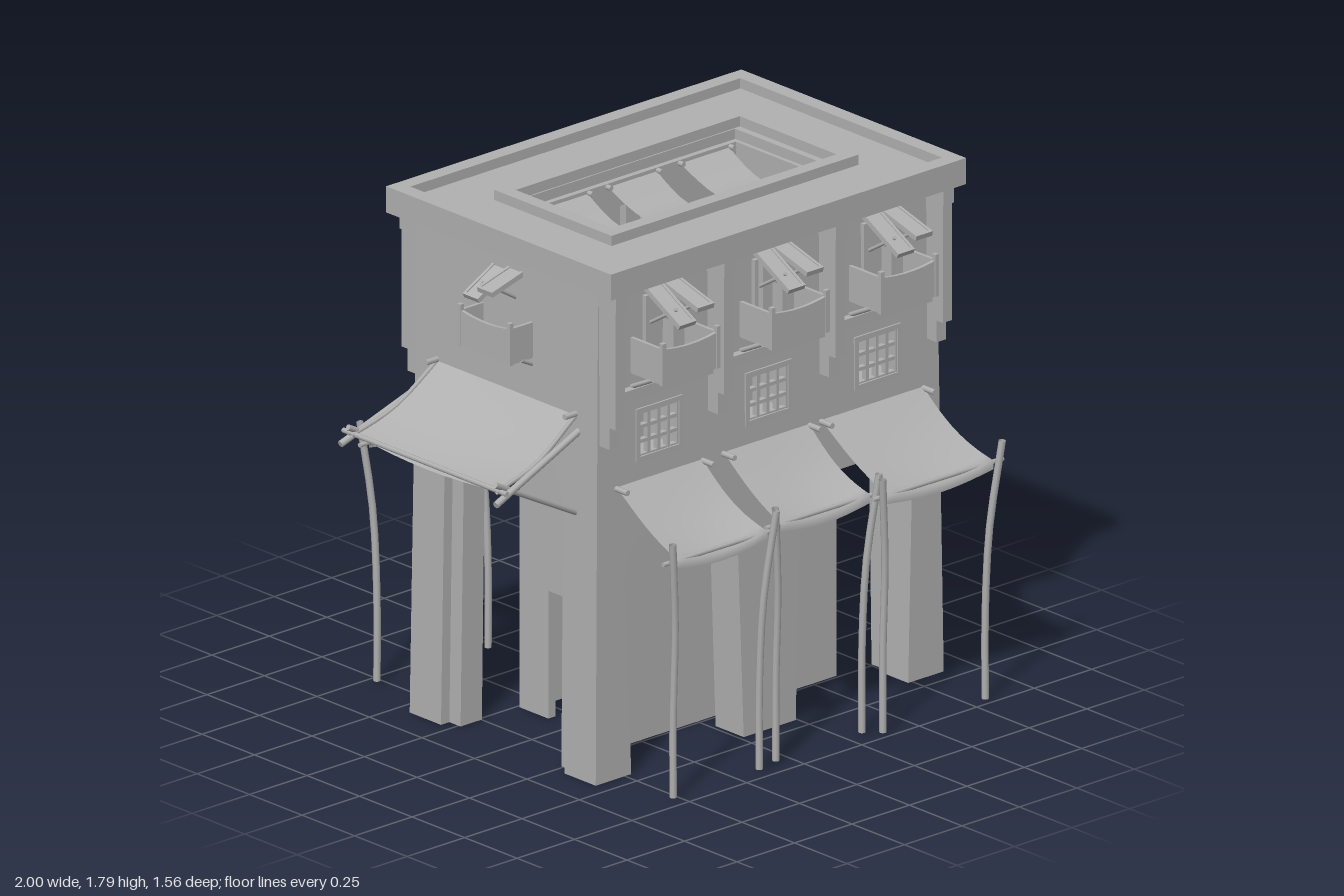
import * as THREE from 'three';

const stone = new THREE.MeshStandardMaterial({ color: 0xb0b0b0, side: THREE.DoubleSide });
stone.name = 'plain grey';
const CX = 0.13; // centre of the building in x
const BAYS = [-0.475, 0, 0.475];
const V = (x, y, z) => new THREE.Vector3(x, y, z);

function add(parent, name, geometry) {
  const mesh = new THREE.Mesh(geometry, stone);
  mesh.name = name;
  parent.add(mesh);
  return mesh;
}

// Box given by its limits
function box(parent, name, x0, x1, y0, y1, z0, z1) {
  const g = new THREE.BoxGeometry(x1 - x0, y1 - y0, z1 - z0);
  g.translate((x0 + x1) / 2, (y0 + y1) / 2, (z0 + z1) / 2);
  return add(parent, name, g);
}

// Round stick between two points
function stick(parent, name, a, b, r = 0.011) {
  const d = b.clone().sub(a);
  const m = add(parent, name, new THREE.CylinderGeometry(r, r, d.length(), 8));
  m.position.copy(a).add(b).multiplyScalar(0.5);
  m.quaternion.setFromUnitVectors(V(0, 1, 0), d.normalize());
  return m;
}

function rect(C, x0, x1, y0, y1) {
  const s = new C();
  s.moveTo(x0, y0); s.lineTo(x1, y0); s.lineTo(x1, y1); s.lineTo(x0, y1); s.closePath();
  return s;
}

// Horizontal rectangular ring
function ring(parent, name, [ox0, ox1, oz], [ix0, ix1, iz], y0, y1) {
  const s = rect(THREE.Shape, ox0, ox1, -oz, oz);
  s.holes.push(rect(THREE.Path, ix0, ix1, -iz, iz));
  const g = new THREE.ExtrudeGeometry(s, { depth: y1 - y0, bevelEnabled: false });
  g.rotateX(-Math.PI / 2).translate(0, y0, 0);
  return add(parent, name, g);
}

// Upright wall that leans slightly inwards as it rises
function wall(parent, name, shape, z0, z1) {
  const g = new THREE.ExtrudeGeometry(shape, { depth: z1 - z0, bevelEnabled: false, curveSegments: 10 });
  g.translate(0, 0, z0);
  const p = g.attributes.position;
  for (let i = 0; i < p.count; i++) {
    const k = 1 + 0.03 * (1 - p.getY(i) / 1.7);
    p.setX(i, p.getX(i) * k);
    p.setZ(i, p.getZ(i) * k);
  }
  g.computeVertexNormals();
  return add(parent, name, g);
}

// Cloth from a rule f(u, v), with u and v from 0 to 1
function cloth(parent, name, f) {
  const g = new THREE.PlaneGeometry(1, 1, 8, 10);
  const p = g.attributes.position;
  for (let i = 0; i < p.count; i++) {
    const q = f(p.getX(i) + 0.5, 0.5 - p.getY(i));
    p.setXYZ(i, q.x, q.y, q.z);
  }
  g.computeVertexNormals();
  return add(parent, name, g);
}

// Balcony with door frame, open shutters and brackets; wall face at z
function balcony(parent, u, z) {
  const b = new THREE.Group();
  b.name = 'balcony';
  b.position.set(u, 0, z);
  parent.add(b);
  box(b, 'balconyFloor', -0.12, 0.12, 1.375, 1.39, 0, 0.15);
  const s = new THREE.Shape();
  s.moveTo(-0.12, 1.375); s.lineTo(0.12, 1.375); s.lineTo(0.12, 1.5);
  s.quadraticCurveTo(0, 1.475, -0.12, 1.5);
  const g = new THREE.ExtrudeGeometry(s, { depth: 0.012, bevelEnabled: false });
  add(b, 'balconyFront', g.translate(0, 0, 0.14));
  for (const d of [-1, 1]) {
    const x = d * 0.118;
    box(b, 'balconySide', x - 0.006, x + 0.006, 1.38, 1.5, 0, 0.14);
    box(b, 'balconyPost', x - 0.008, x + 0.008, 1.375, 1.52, 0.14, 0.156);
    stick(b, 'balconyBracket', V(x, 1.33, 0), V(x, 1.38, 0.1), 0.008);
    box(b, 'doorJamb', d * 0.06 - 0.008, d * 0.06 + 0.008, 1.39, 1.63, -0.02, 0.012);
    stick(b, 'shutterProp', V(d * 0.035, 1.53, 0), V(d * 0.04, 1.61, 0.13), 0.006);
  }
  // Two shutters propped outwards at different angles
  for (const [x, tilt, len] of [[-0.037, 0.5, 0.19], [0.037, 0.27, 0.18]]) {
    const sh = new THREE.Group();
    sh.name = 'shutter';
    sh.position.set(x, 1.66, 0.01);
    sh.rotation.x = tilt;
    b.add(sh);
    box(sh, 'shutterBoard', -0.03, 0.03, -0.005, 0.005, 0, len);
    for (const d of [-1, 1]) box(sh, 'shutterRail', d * 0.031 - 0.005, d * 0.031 + 0.005, -0.009, 0.009, 0, len);
    box(sh, 'shutterEnd', -0.036, 0.036, -0.009, 0.009, len - 0.01, len);
  }
}

// Framed lattice window of four by three panes
function lattice(parent, u) {
  const w = new THREE.Group();
  w.name = 'latticeWindow';
  w.position.set(u, 1.155, 0.43);
  parent.add(w);
  for (const d of [-1, 1]) {
    box(w, 'frameSide', d * 0.093 - 0.008, d * 0.093 + 0.008, -0.09, 0.09, -0.02, 0.01);
    box(w, 'frameRail', -0.1, 0.1, d * 0.083 - 0.008, d * 0.083 + 0.008, -0.02, 0.01);
  }
  for (let i = 0; i < 5; i++) box(w, 'upright', -0.091 + i * 0.0425, -0.079 + i * 0.0425, -0.08, 0.08, -0.015, 0.005);
  for (let i = 0; i < 4; i++) box(w, 'crossbar', -0.085, 0.085, -0.081 + i * 0.05, -0.069 + i * 0.05, -0.015, 0.004);
}

// Long side: two arches, three bays of windows and balconies
function longSide(parent, name, turn) {
  const f = new THREE.Group();
  f.name = name;
  f.position.x = CX;
  f.rotation.y = turn;
  parent.add(f);
  const s = new THREE.Shape();
  s.moveTo(-0.735, 0);
  s.lineTo(-0.585, 0); s.lineTo(-0.612, 0.67);
  s.quadraticCurveTo(-0.612, 0.81, -0.49, 0.81);
  s.lineTo(-0.26, 0.81);
  s.quadraticCurveTo(-0.14, 0.81, -0.13, 0.62);
  s.lineTo(-0.11, 0); s.lineTo(0.11, 0); s.lineTo(0.13, 0.62);
  s.quadraticCurveTo(0.14, 0.81, 0.26, 0.81);
  s.lineTo(0.49, 0.81);
  s.quadraticCurveTo(0.612, 0.81, 0.612, 0.67);
  s.lineTo(0.585, 0);
  s.lineTo(0.735, 0); s.lineTo(0.735, 1.7); s.lineTo(-0.735, 1.7);
  for (const u of BAYS) {
    s.holes.push(rect(THREE.Path, u - 0.087, u + 0.087, 1.075, 1.235));
    s.holes.push(rect(THREE.Path, u - 0.055, u + 0.055, 1.39, 1.63));
  }
  wall(f, 'archedWall', s, 0.3, 0.43);
  for (const u of BAYS) {
    lattice(f, u);
    balcony(f, u, 0.435);
    if (u) box(f, 'door', u - 0.055, u + 0.055, 1.39, 1.63, 0.38, 0.395);
    else box(f, 'doorLeaf', 0.015, 0.055, 1.39, 1.63, 0.38, 0.395);
  }
  for (const u of [-0.712, -0.24, 0.245, 0.712]) {
    box(f, 'pilaster', u - 0.02, u + 0.02, 1.235, 1.7, 0.42, 0.51);
    box(f, 'pilasterFoot', u - 0.02, u + 0.02, 1.16, 1.235, 0.42, 0.48);
    box(f, 'pilasterHead', u - 0.023, u + 0.023, 1.64, 1.7, 0.42, 0.515);
  }
  box(f, 'ledge', -0.72, 0.72, 1.295, 1.33, 0.42, 0.46);
}

// Short side: pointed arch inside a rectangular recess
function shortSide(parent, name, turn) {
  const f = new THREE.Group();
  f.name = name;
  f.position.x = CX;
  f.rotation.y = turn;
  parent.add(f);
  const outline = (opening) => {
    const s = new THREE.Shape();
    s.moveTo(-0.305, 0); opening(s);
    s.lineTo(0.305, 0); s.lineTo(0.305, 1.7); s.lineTo(-0.305, 1.7);
    return s;
  };
  wall(f, 'recessWall', outline((s) => {
    s.lineTo(-0.285, 0); s.lineTo(-0.285, 1.2); s.lineTo(0.285, 1.2); s.lineTo(0.285, 0);
  }), 0.7, 0.735);
  wall(f, 'pointedArch', outline((s) => {
    s.lineTo(-0.233, 0); s.lineTo(-0.233, 0.88);
    s.quadraticCurveTo(-0.22, 1.08, 0, 1.15);
    s.quadraticCurveTo(0.22, 1.08, 0.233, 0.88);
    s.lineTo(0.233, 0);
  }), 0.61, 0.7);
  balcony(f, 0, 0.685);
}

// Cloth awning with a short hanging flap on two bent posts; s is +1 for front, -1 for back
function awning(parent, x0, x1, zOut, s) {
  const a = new THREE.Group();
  a.name = 'awning';
  parent.add(a);
  const mid = (x0 + x1) / 2;
  cloth(a, 'awningCloth', (u, v) => {
    const t = Math.min(v / 0.9, 1), flap = Math.max(v - 0.9, 0) * 10;
    const x = mid + (u - 0.5) * (x1 - x0) * (0.98 + 0.14 * (t - 0.35) ** 2);
    const y = 1.0 - 0.165 * t - 0.024 * Math.sin(Math.PI * t) - 0.02 * Math.sin(Math.PI * u) * t - 0.03 * flap;
    return V(x, y, s * (0.435 + (zOut - 0.435) * t));
  });
  stick(a, 'awningPole', V(x0 - 0.06, 0.83, s * (zOut - 0.012)), V(x1 + 0.06, 0.825, s * (zOut - 0.012)), 0.008);
  for (const [x, d] of [[x0, -1], [x1, 1]]) {
    const pts = [V(x, 0.01, s * (zOut - 0.03)), V(x, 0.3, s * (zOut - 0.03)),
      V(x + d * 0.005, 0.6, s * (zOut - 0.015)), V(x + d * 0.038, 0.9, s * (zOut + 0.01))];
    add(a, 'awningPost', new THREE.TubeGeometry(new THREE.CatmullRomCurve3(pts), 9, 0.012, 8));
    stick(a, 'awningPeg', V(x, 0.995, s * 0.42), V(x, 0.995, s * 0.49), 0.01);
  }
}

export function createModel() {
  const model = new THREE.Group();
  model.name = 'arcadeBuilding';
  longSide(model, 'frontSide', 0);
  longSide(model, 'backSide', Math.PI);
  shortSide(model, 'leftSide', Math.PI / 2);
  shortSide(model, 'rightSide', -Math.PI / 2);

  // Roof with parapet and courtyard kerb
  ring(model, 'parapet', [-0.645, 0.9, 0.535], [-0.59, 0.845, 0.48], 1.7, 1.79);
  ring(model, 'roofDeck', [-0.6, 0.855, 0.49], [-0.335, 0.59, 0.225], 1.7, 1.755);
  ring(model, 'courtyardKerb', [-0.41, 0.665, 0.28], [-0.36, 0.615, 0.23], 1.74, 1.79);
  ring(model, 'upperFloor', [-0.5, 0.76, 0.31], [-0.33, 0.6, 0.235], 1.29, 1.31);

  // Hollow courtyard core: long walls with an upper doorway
  for (const z of [-0.24, 0.205]) {
    const sh = rect(THREE.Shape, -0.335, 0.605, 0, 1.72);
    sh.holes.push(rect(THREE.Path, CX - 0.06, CX + 0.06, 1.39, 1.63));
    const g = new THREE.ExtrudeGeometry(sh, { depth: 0.035, bevelEnabled: false });
    add(model, 'coreWall', g.translate(0, 0, z));
  }
  // Core end walls, each with a doorway of its own height
  for (const [x, top] of [[-0.335, 0.44], [0.575, 0.8]]) {
    for (const s of [-1, 1]) box(model, 'coreJamb', x, x + 0.03, 0, top, s * 0.157 - 0.055, s * 0.157 + 0.055);
    box(model, 'coreEnd', x, x + 0.03, top, 1.72, -0.21, 0.21);
  }
  box(model, 'courtyardFloor', -0.31, 0.58, 0.8, 0.83, -0.21, 0.21);

  // Sagging shade cloths across the courtyard
  for (const x of [-0.175, 0.125, 0.44]) {
    cloth(model, 'shadeCloth', (u, v) => V(
      x + (u - 0.5) * 0.21 * (0.94 + 0.08 * (2 * v - 1) ** 2),
      1.71 - 0.07 * Math.sin(Math.PI * v), (v - 0.5) * 0.42));
    for (const dx of [-0.11, 0.11]) for (const s of [-1, 1])
      stick(model, 'shadePeg', V(x + dx, 1.71, s * 0.225), V(x + dx, 1.71, s * 0.185), 0.009);
  }

  // Street awnings on both long sides
  for (const s of [-1, 1]) {
    awning(model, -0.53, -0.155, 0.735, s);
    awning(model, -0.065, 0.31, 0.715, s);
    awning(model, 0.36, 0.805, 0.76, s);
  }

  // Awning on the right end, carried by slanted struts
  cloth(model, 'endAwningCloth', (u, v) => V(
    -0.61 - 0.35 * v, 1.24 - 0.17 * v - 0.03 * Math.sin(Math.PI * v) - 0.02 * Math.sin(Math.PI * u) * v,
    (u - 0.5) * (0.66 + 0.03 * v)));
  stick(model, 'endAwningPole', V(-0.955, 1.07, -0.4), V(-0.955, 1.07, 0.38), 0.009);
  for (const s of [-1, 1]) {
    stick(model, 'endStrut', V(-0.6, 0.9, s * 0.33), V(-0.98, 1.1, s * 0.35), 0.01);
    stick(model, 'endRail', V(-0.6, 1.19, s * 0.34), V(-0.995, 1.04, s * 0.37), 0.012);
    stick(model, 'endPeg', V(-0.6, 1.245, s * 0.33), V(-0.66, 1.245, s * 0.33), 0.01);
    const edge = [V(-0.61, 1.24, s * 0.33), V(-0.785, 1.125, s * 0.338), V(-0.97, 1.07, s * 0.345)];
    add(model, 'endClothEdge', new THREE.TubeGeometry(new THREE.CatmullRomCurve3(edge), 8, 0.008, 6));
  }
  return model;
}
